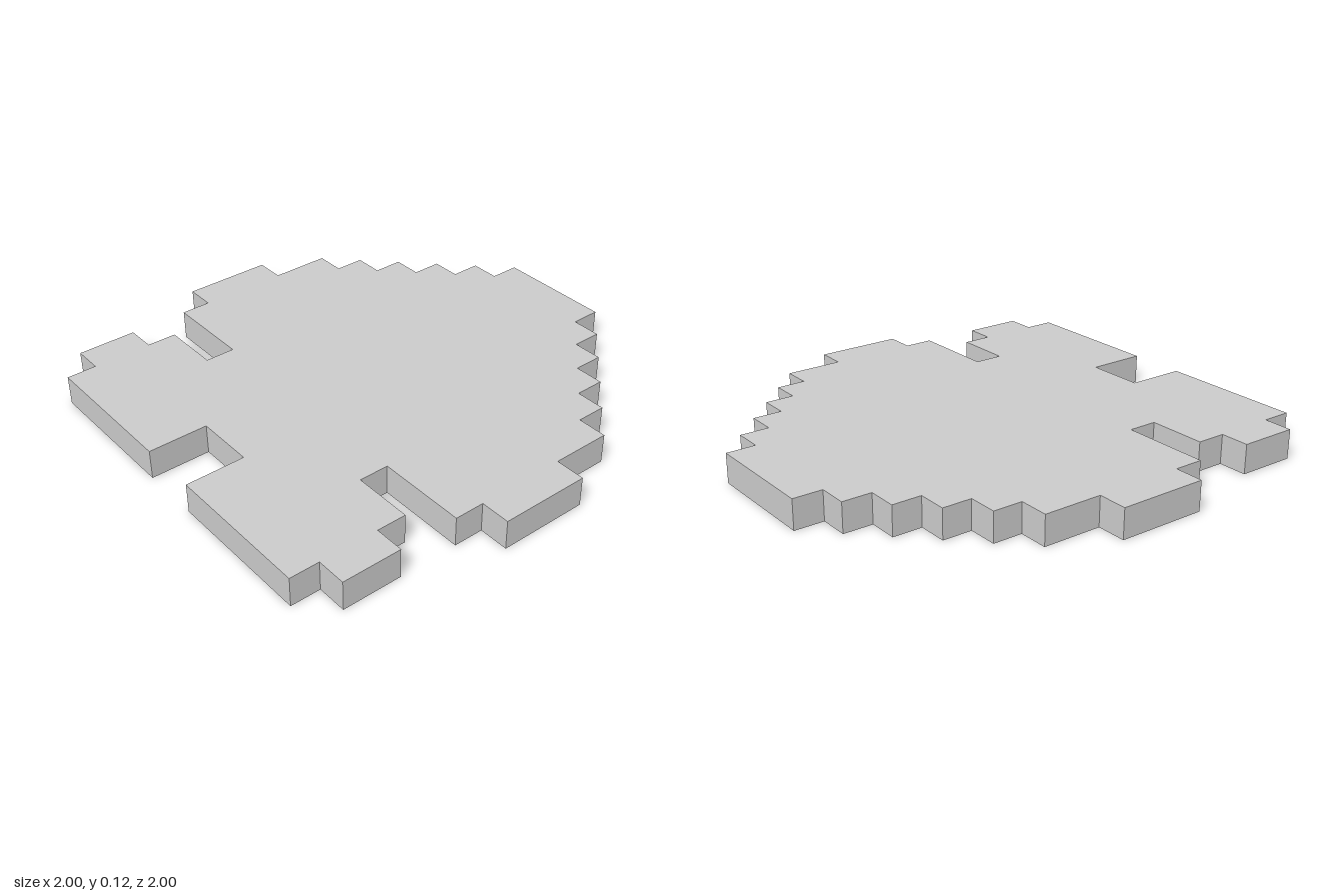
import * as THREE from 'three';

const CELL = 0.125;
// Half width, in cells, of each row from back (z = -1) to front (z = 1)
const HALF_WIDTHS = [2, 3, 4, 5, 6, 7, 7, 8, 8, 8, 7, 4, 6, 7, 7, 6];
const NOTCH = { halfWidth: 1, depth: 2 };

// Stepped outline of the +x half, from the back to the front notch
function halfOutline() {
  const points = [];
  HALF_WIDTHS.forEach((w, row) => {
    if (w !== HALF_WIDTHS[row - 1]) points.push([w, 8 - row]);
    if (w !== HALF_WIDTHS[row + 1]) points.push([w, 7 - row]);
  });
  points.push([NOTCH.halfWidth, -8], [NOTCH.halfWidth, NOTCH.depth - 8]);
  return points.map(([x, y]) => new THREE.Vector2(x * CELL, y * CELL));
}

export function createModel() {
  const group = new THREE.Group();
  group.name = 'pixelPlaque';

  // Mirror the half outline and extrude it one cell thick, lying flat
  const half = halfOutline();
  const mirrored = half.map((p) => new THREE.Vector2(-p.x, p.y)).reverse();
  const geometry = new THREE.ExtrudeGeometry(new THREE.Shape([...half, ...mirrored]), {
    depth: CELL,
    bevelEnabled: false,
  });
  geometry.rotateX(-Math.PI / 2);

  const material = new THREE.MeshStandardMaterial({ color: 0xcccccc, flatShading: true });
  const plate = new THREE.Mesh(geometry, material);
  plate.name = 'steppedPlate';
  group.add(plate);
  return group;
}
